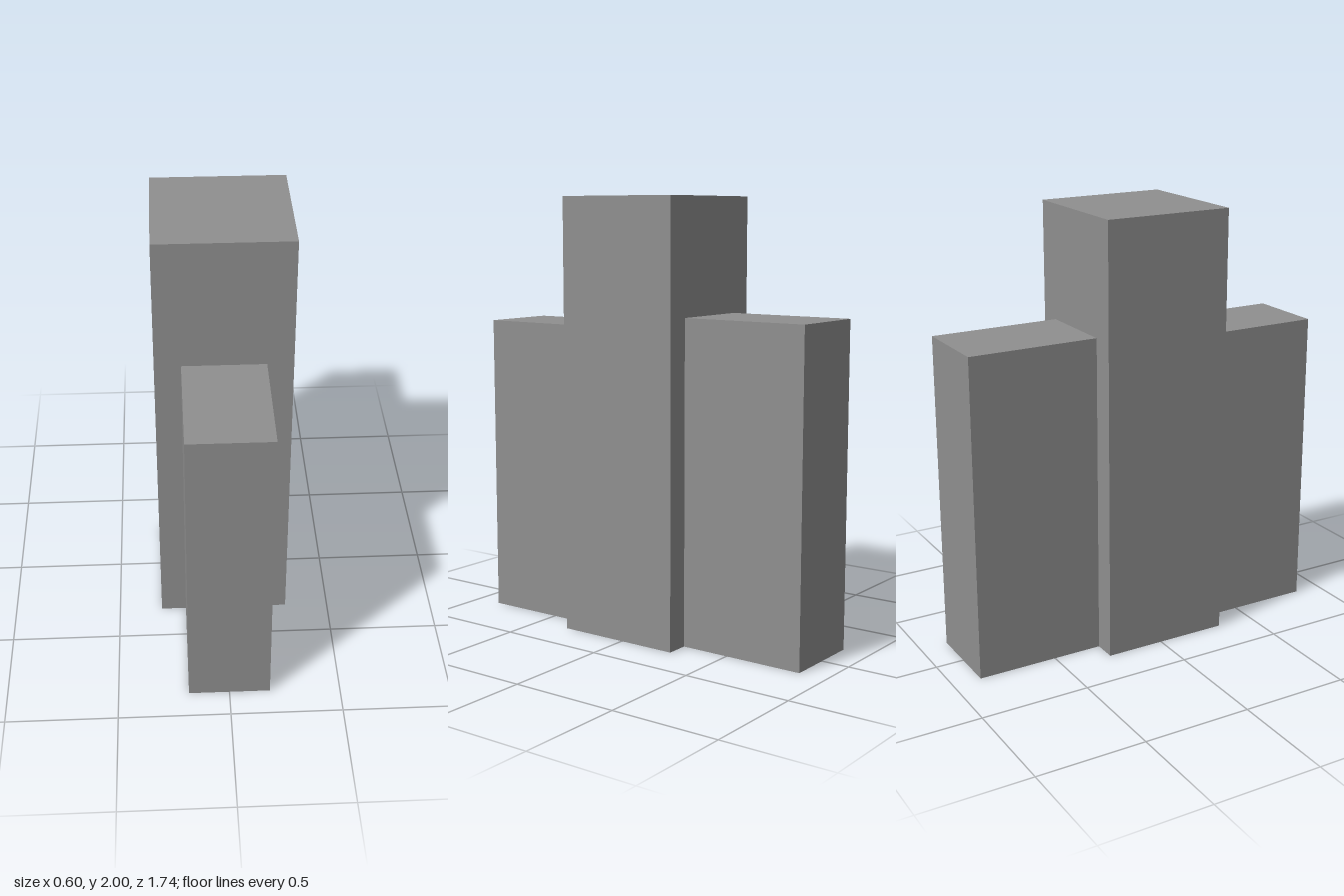
import * as THREE from 'three';

const material = new THREE.MeshStandardMaterial({ color: 0x8f8f8f });

// Upright block standing on the ground, spanning zBack to zFront
function block(name, width, height, zBack, zFront) {
  const geometry = new THREE.BoxGeometry(width, height, zFront - zBack);
  const mesh = new THREE.Mesh(geometry, material);
  mesh.name = name;
  mesh.position.set(0, height / 2, (zBack + zFront) / 2);
  return mesh;
}

export function createModel() {
  const group = new THREE.Group();
  group.name = 'towerBlocks';
  group.add(
    block('centralTower', 0.597, 2, -0.272, 0.325), // tall middle volume
    block('frontWing', 0.366, 1.413, 0.325, 0.87), // lower, narrower wing
    block('backWing', 0.386, 1.475, -0.87, -0.272), // slightly taller wing
  );
  return group;
}
